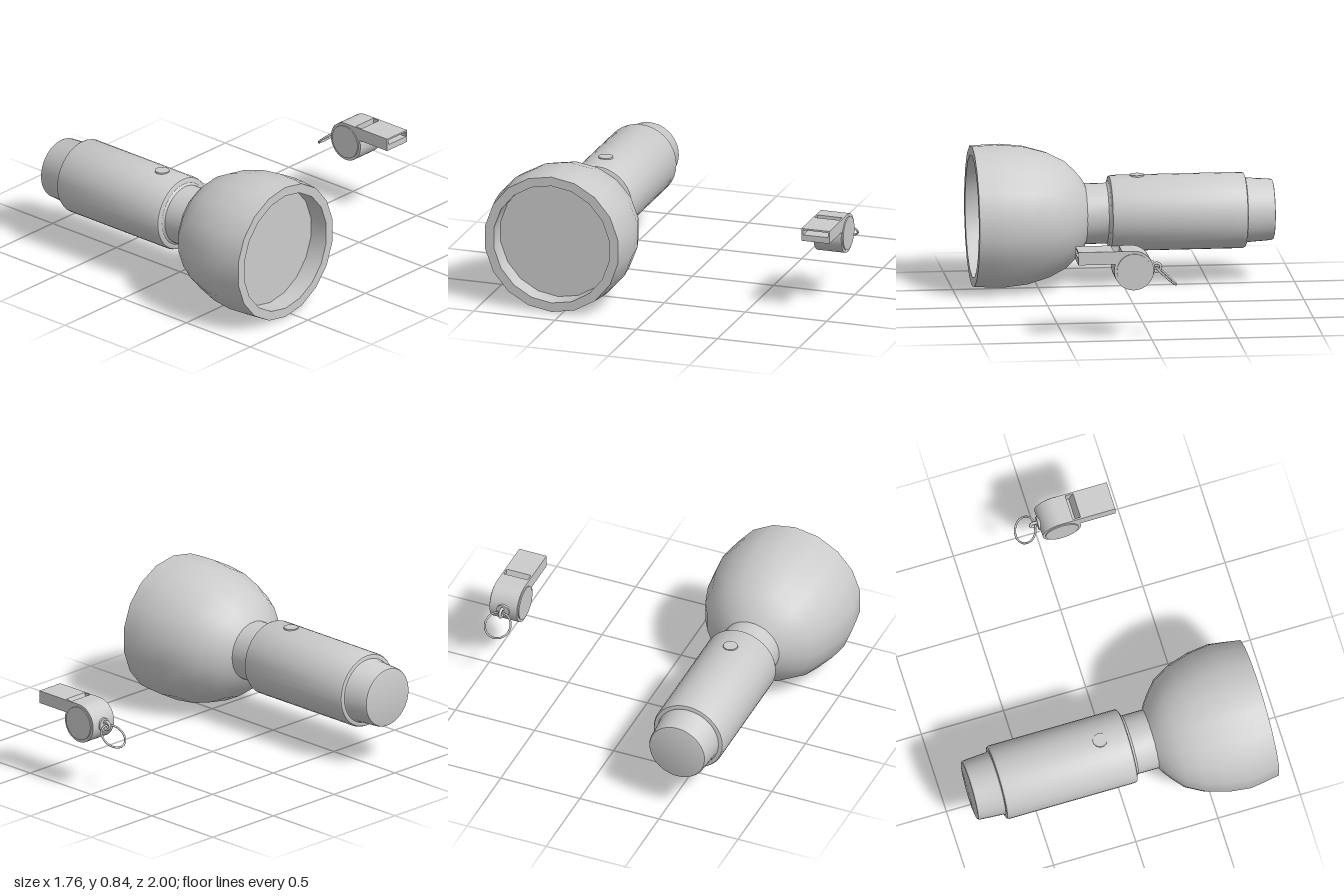
import * as THREE from 'three';
import { toCreasedNormals } from 'three/addons/utils/BufferGeometryUtils.js';

const grey = new THREE.MeshStandardMaterial({ color: 0xcccccc });

function add(parent, name, geometry, x = 0, y = 0, z = 0) {
  const mesh = new THREE.Mesh(geometry, grey);
  mesh.name = name;
  mesh.position.set(x, y, z);
  parent.add(mesh);
  return mesh;
}

// Turned part along +x from [x, radius] pairs, with a vertex straight up
function turned(profile, sides, crease = 0.6) {
  const points = profile.map(([x, r]) => new THREE.Vector2(r, x));
  const geo = new THREE.LatheGeometry(points, sides, Math.PI / 2).rotateZ(-Math.PI / 2);
  return toCreasedNormals(geo, crease);
}

function createFlashlight() {
  const light = new THREE.Group();
  light.name = 'flashlight';
  light.position.set(0, 0.425, 0.562);

  // Tail cap, grip and neck
  add(light, 'tailCap', turned([
    [-0.88, 0], [-0.88, 0.165], [-0.877, 0.174], [-0.868, 0.179], [-0.725, 0.188], [-0.715, 0.194], [-0.71, 0.2]
  ], 36));
  add(light, 'grip', turned([
    [-0.716, 0.18], [-0.716, 0.205], [-0.712, 0.216], [-0.7, 0.222],
    [0.065, 0.222], [0.077, 0.217], [0.082, 0.206], [0.084, 0.19], [0.096, 0.177]
  ], 36));
  add(light, 'neck', turned([[0.08, 0.177], [0.225, 0.177]], 36));

  // Bowl of the head, slightly wider than tall around its middle
  const bowl = new THREE.LatheGeometry([
    [0.22, 0.175], [0.245, 0.215], [0.28, 0.257], [0.34, 0.315], [0.44, 0.367],
    [0.57, 0.405], [0.7, 0.42], [0.79, 0.419], [0.88, 0.415]
  ].map(([x, r]) => new THREE.Vector2(r, x)), 18, Math.PI / 2).rotateZ(-Math.PI / 2);
  const pos = bowl.attributes.position;
  for (let i = 0; i < pos.count; i++) {
    const x = pos.getX(i);
    const bulge = Math.min(1, (x - 0.22) / 0.12, (0.88 - x) / 0.18);
    pos.setZ(i, pos.getZ(i) * (1 + 0.058 * bulge));
  }
  add(light, 'headBowl', bowl);

  // Flat rim, recess wall and lens
  add(light, 'headRim', turned([
    [0.88, 0.415], [0.88, 0.36], [0.76, 0.36], [0.76, 0]
  ], 18));

  add(light, 'button', new THREE.CylinderGeometry(0.042, 0.045, 0.03, 24), -0.085, 0.212, 0);
  return light;
}

function outline(points) {
  return new THREE.Shape(points.map(([x, y]) => new THREE.Vector2(x, y)));
}

// Extrusion centred on z
function slab(shape, depth) {
  const geo = new THREE.ExtrudeGeometry(shape, { depth, bevelEnabled: false });
  return toCreasedNormals(geo.translate(0, 0, -depth / 2), 0.5);
}

function createWhistle() {
  const whistle = new THREE.Group();
  whistle.name = 'whistle';
  whistle.position.set(0.105, 0.418, -0.907);

  // Round chamber, from its top around the left to the mouthpiece underside
  const radius = 0.116, under = 0.04, tip = 0.325;
  const arc = [];
  const end = Math.PI * 2 + Math.asin(under / radius);
  for (let i = 0; i <= 36; i++) {
    const a = Math.PI / 2 + (end - Math.PI / 2) * i / 36;
    arc.push([radius * Math.cos(a), radius * Math.sin(a)]);
  }

  // Core with air slot at the tip and window in the top
  const core = outline([
    ...arc, [tip, under], [tip, 0.077], [0.19, 0.077], [0.19, 0.106], [tip, 0.106],
    [tip, radius], [0.117, radius], [0.09, 0.05], [0.07, 0.05], [0.07, radius]
  ]);
  add(whistle, 'body', slab(core, 0.152));

  // Side walls and round end caps
  const side = outline([...arc, [tip, under], [tip, radius]]);
  for (const s of [-1, 1]) {
    add(whistle, 'sideWall', slab(side, 0.01), 0, 0, s * 0.081);
    const cap = add(whistle, 'endCap', new THREE.CylinderGeometry(0.1, 0.1, 0.014, 36), 0, 0, s * 0.086);
    cap.rotation.x = Math.PI / 2;
  }

  // Lug, small loop and hanging ring
  const lug = add(whistle, 'lug', new THREE.CylinderGeometry(0.04, 0.04, 0.016, 24), -0.116, 0, 0);
  lug.rotation.z = Math.PI / 2;
  add(whistle, 'loop', new THREE.TorusGeometry(0.024, 0.009, 10, 24), -0.142, 0, 0);
  const ring = add(whistle, 'ring', new THREE.TorusGeometry(0.078, 0.006, 10, 40), -0.196, -0.052, 0);
  ring.rotation.set(Math.PI / 2, -0.72, 0, 'ZYX');
  ring.quaternion.setFromUnitVectors(
    new THREE.Vector3(0, 0, 1), new THREE.Vector3(-0.66, 0.75, 0).normalize());
  return whistle;
}

export function createModel() {
  const model = new THREE.Group();
  model.name = 'flashlightAndWhistle';
  model.add(createFlashlight(), createWhistle());
  return model;
}
